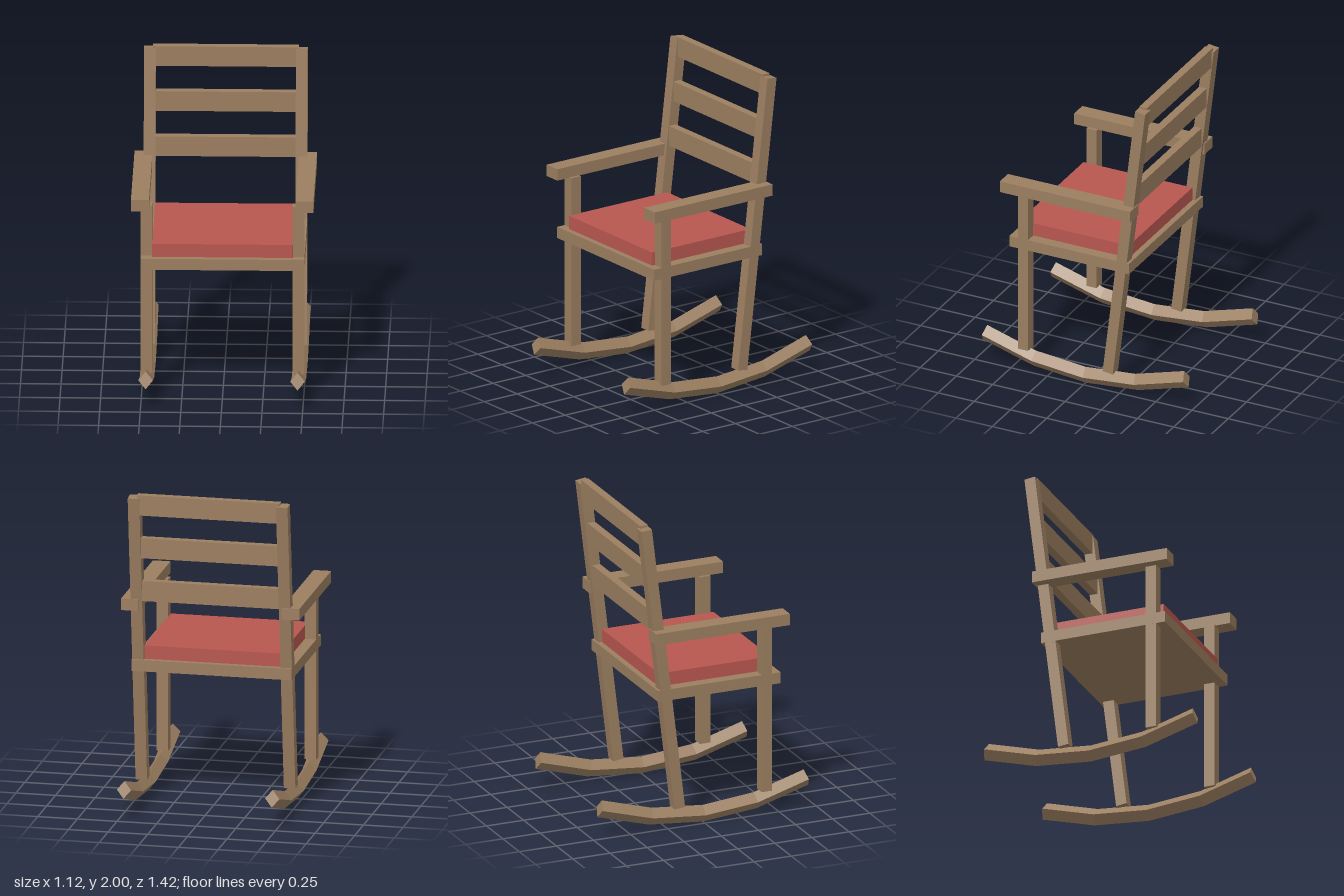
import * as THREE from 'three';

export function createModel() {
  const chair = new THREE.Group();
  chair.name = 'rockingChair';
  const wood = new THREE.MeshStandardMaterial({ color: 0x9b7e60 });
  wood.name = 'wood';
  const fabric = new THREE.MeshStandardMaterial({ color: 0xb8564f });
  fabric.name = 'redFabric';

  const add = (name, geometry, material, x = 0, y = 0, z = 0) => {
    const mesh = new THREE.Mesh(geometry, material);
    mesh.name = name;
    mesh.position.set(x, y, z);
    chair.add(mesh);
    return mesh;
  };
  const box = (name, material, w, h, d, x, y, z) =>
    add(name, new THREE.BoxGeometry(w, h, d), material, x, y, z);

  // Seat and cushion
  box('seat', wood, 1.01, 0.072, 0.826, 0, 0.886, 0.095);
  box('cushion', fabric, 0.866, 0.086, 0.752, 0, 0.964, 0.095);

  // Back slats follow the lean of the rear posts
  const lean = 0.12;
  const postZ = (y) => -0.17 - Math.tan(lean) * (y - 0.13);
  for (const y of [1.372, 1.655, 1.937])
    box('backSlat', wood, 0.9, 0.128, 0.052, 0, y, postZ(y));

  const rocker = rockerGeometry();
  for (const side of [1, -1]) {
    const name = side > 0 ? 'left' : 'right';
    const x = side * 0.468;
    box(name + 'FrontLeg', wood, 0.073, 1.095, 0.07, x, 0.7, 0.415);
    const post = box(name + 'BackPost', wood, 0.073, 1.869, 0.07, x, 1.058, postZ(1.058));
    post.rotation.x = -lean;
    box(name + 'Armrest', wood, 0.111, 0.074, 0.9, side * 0.507, 1.282, 0.095);
    add(name + 'Rocker', rocker, wood, x);
  }
  return chair;
}

// Curved runner: a diamond section swept along a bent path, with flat facets
function rockerGeometry() {
  const path = [[-0.695, 0.193], [-0.353, 0.093], [0, 0.06], [0.353, 0.093], [0.695, 0.193]];
  const halfWidth = 0.045, halfHeight = 0.055;
  const rings = path.map(([z, y], i) => {
    const a = path[Math.max(i - 1, 0)], b = path[Math.min(i + 1, path.length - 1)];
    const t = new THREE.Vector2(b[0] - a[0], b[1] - a[1]).normalize();
    const dz = -t.y * halfHeight, dy = t.x * halfHeight;
    return [
      [halfWidth, y, z], [0, y + dy, z + dz],
      [-halfWidth, y, z], [0, y - dy, z - dz],
    ];
  });
  const pos = [];
  const quad = (a, b, c, d) => pos.push(...a, ...b, ...c, ...a, ...c, ...d);
  for (let i = 0; i < rings.length - 1; i++)
    for (let k = 0; k < 4; k++) {
      const n = (k + 1) % 4;
      quad(rings[i][k], rings[i][n], rings[i + 1][n], rings[i + 1][k]);
    }
  const first = rings[0], last = rings[rings.length - 1];
  quad(first[3], first[2], first[1], first[0]);
  quad(last[0], last[1], last[2], last[3]);
  // Reverse the sides if needed so every face looks outward
  const sides = (rings.length - 1) * 4 * 6;
  const p = (i) => new THREE.Vector3().fromArray(pos, i * 3);
  const facing = p(1).sub(p(0)).cross(p(2).sub(p(0)));
  if (facing.x < 0)
    for (let i = 0; i < sides; i += 3) {
      const b = p(i + 1), c = p(i + 2);
      c.toArray(pos, (i + 1) * 3);
      b.toArray(pos, (i + 2) * 3);
    }
  const geometry = new THREE.BufferGeometry();
  geometry.setAttribute('position', new THREE.Float32BufferAttribute(pos, 3));
  geometry.computeVertexNormals();
  return geometry;
}
